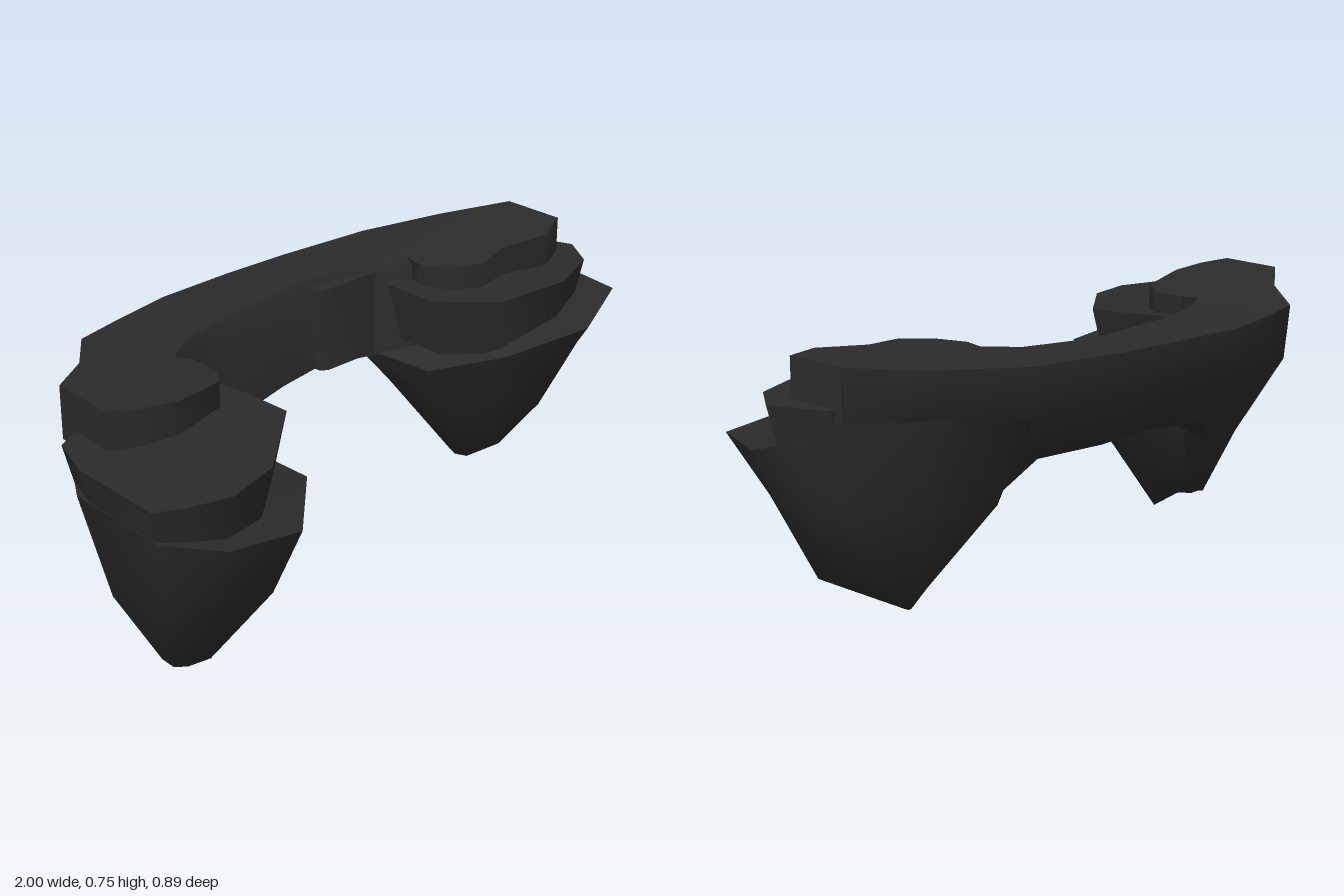
import * as THREE from 'three';
import { toCreasedNormals } from 'three/addons/utils/BufferGeometryUtils.js';

// Closed shell through matching rings of points, capped at both ends.
function loft(rings, crease = 0.8) {
  const n = rings[0].length;
  const pos = rings.flat(2);
  const index = [];
  for (let r = 0; r < rings.length - 1; r++) {
    for (let i = 0; i < n; i++) {
      const j = (i + 1) % n;
      const a = r * n + i, b = r * n + j, c = a + n, d = b + n;
      index.push(a, b, d, a, d, c);
    }
  }
  // End caps, fanned from the middle of each end ring
  [0, rings.length - 1].forEach((r) => {
    const mid = [0, 1, 2].map((k) => rings[r].reduce((s, p) => s + p[k], 0) / n);
    const m = pos.length / 3;
    pos.push(...mid);
    for (let i = 0; i < n; i++) {
      const a = r * n + i, b = r * n + (i + 1) % n;
      if (r === 0) index.push(m, b, a);
      else index.push(m, a, b);
    }
  });
  // Turn the shell outward if its signed volume is negative
  const v = (i) => new THREE.Vector3().fromArray(pos, i * 3);
  let volume = 0;
  for (let t = 0; t < index.length; t += 3) {
    volume += v(index[t]).dot(v(index[t + 1]).cross(v(index[t + 2])));
  }
  if (volume < 0) index.reverse();
  const geo = new THREE.BufferGeometry();
  geo.setAttribute('position', new THREE.Float32BufferAttribute(pos, 3));
  geo.setIndex(index);
  return toCreasedNormals(geo, crease);
}

// Ledge: outline of [x, z], top height rule, base height, inward taper.
function ledge(outline, topY, baseY, taper) {
  const n = outline.length;
  const cx = outline.reduce((s, p) => s + p[0], 0) / n;
  const cz = outline.reduce((s, p) => s + p[1], 0) / n;
  return loft([
    outline.map(([x, z]) => [x, topY(x, z), z]),
    outline.map(([x, z]) => [cx + (x - cx) * taper, baseY, cz + (z - cz) * taper]),
  ]);
}

export function createModel() {
  const group = new THREE.Group();
  const rock = new THREE.MeshStandardMaterial({ color: 0x2b2b2b });
  rock.name = 'dark rock';
  const add = (name, geo) => {
    const mesh = new THREE.Mesh(geo, rock);
    mesh.name = name;
    group.add(mesh);
  };

  // Arch: sections of outer top, outer middle, underside, inner bottom, inner top
  const sections = [
    [[-0.85, 0.744, -0.15], [-0.84, 0.56, -0.14], [-0.70, 0.45, -0.08], [-0.50, 0.42, -0.05], [-0.47, 0.702, -0.09]],
    [[-0.70, 0.72, -0.25], [-0.69, 0.55, -0.24], [-0.60, 0.40, -0.18], [-0.44, 0.36, -0.08], [-0.49, 0.702, -0.13]],
    [[-0.57, 0.70, -0.39], [-0.56, 0.55, -0.38], [-0.44, 0.315, -0.28], [-0.43, 0.34, -0.11], [-0.46, 0.70, -0.15]],
    [[-0.42, 0.695, -0.42], [-0.42, 0.555, -0.41], [-0.36, 0.33, -0.285], [-0.37, 0.36, -0.15], [-0.38, 0.70, -0.19]],
    [[-0.23, 0.693, -0.445], [-0.23, 0.56, -0.435], [-0.24, 0.42, -0.33], [-0.23, 0.42, -0.17], [-0.23, 0.695, -0.22]],
    [[0, 0.695, -0.43], [0, 0.56, -0.42], [-0.03, 0.435, -0.31], [-0.03, 0.435, -0.19], [0, 0.695, -0.235]],
    [[0.20, 0.695, -0.41], [0.20, 0.555, -0.40], [0.15, 0.43, -0.30], [0.13, 0.43, -0.21], [0.12, 0.695, -0.24]],
    [[0.49, 0.70, -0.355], [0.48, 0.56, -0.345], [0.34, 0.42, -0.24], [0.32, 0.42, -0.16], [0.33, 0.70, -0.19]],
    [[0.72, 0.715, -0.25], [0.71, 0.59, -0.24], [0.60, 0.44, -0.14], [0.40, 0.42, -0.08], [0.41, 0.705, -0.12]],
    [[0.895, 0.735, -0.13], [0.895, 0.60, -0.12], [0.80, 0.46, -0.04], [0.45, 0.44, 0], [0.39, 0.705, -0.06]],
  ];
  // A narrow lip runs below the inner top edge
  const withLip = sections.map((s) => {
    const [x, y, z] = s[4];
    return [...s.slice(0, 4), [x, y - 0.025, z + 0.018], s[4]];
  });
  add('arch', loft(withLip));

  // Low block on the inner wall of the arch
  add('innerWallBlock', ledge(
    [[0.12, -0.25], [0.12, -0.19], [0.14, -0.175], [0.32, -0.16], [0.33, -0.22]], () => 0.675, 0.43, 1));

  // Upper ledges at the ends of the arch
  add('rightUpperLedge', ledge(
    [[-0.85, -0.15], [-0.875, 0.04], [-0.80, 0.08], [-0.70, 0.10], [-0.53, 0.07], [-0.48, 0.01], [-0.47, -0.09]],
    (x) => 0.70 - 0.11 * (x + 0.45), 0.60, 1));
  add('leftUpperLedge', ledge(
    [[0.895, -0.13], [0.88, 0.06], [0.76, 0.105], [0.62, 0.06], [0.50, 0.08], [0.42, 0.03], [0.39, -0.06]],
    (x) => 0.705 + 0.06 * (x - 0.39), 0.60, 1));

  // Middle ledges
  add('rightMiddleLedge', ledge(
    [[-0.93, -0.06], [-0.98, 0.06], [-1.0, 0.32], [-0.93, 0.36], [-0.82, 0.40], [-0.66, 0.37], [-0.43, 0.20], [-0.43, 0.06], [-0.45, -0.10], [-0.70, -0.15]],
    (x, z) => 0.643 - 0.035 * z, 0.47, 0.85));
  add('leftMiddleLedge', ledge(
    [[0.33, -0.12], [0.32, 0.05], [0.45, 0.19], [0.70, 0.22], [0.88, 0.16], [0.96, 0.06], [0.91, -0.10], [0.70, -0.18], [0.50, -0.21]],
    (x) => 0.645 - 0.025 * (x - 0.3), 0.47, 0.87));

  // Tapered rock feet: rim rising into the arch wall, waist and blunt tip
  add('rightFoot', loft([
    [[-0.37, 0.44, 0.06], [-0.38, 0.44, 0.22], [-0.64, 0.48, 0.445], [-0.86, 0.51, 0.42], [-0.98, 0.54, 0.32],
      [-0.96, 0.55, 0.02], [-0.84, 0.56, -0.14], [-0.69, 0.55, -0.24], [-0.47, 0.42, -0.16]],
    [[-0.45, 0.31, 0.08], [-0.45, 0.30, 0.20], [-0.64, 0.27, 0.345], [-0.83, 0.27, 0.33], [-0.92, 0.28, 0.25],
      [-0.92, 0.28, 0.08], [-0.84, 0.28, -0.03], [-0.70, 0.28, -0.13], [-0.48, 0.30, -0.10]],
    [[-0.60, 0.09, 0.08], [-0.63, 0.03, 0.13], [-0.66, 0.0, 0.14], [-0.74, 0.015, 0.14], [-0.77, 0.02, 0.12],
      [-0.77, 0.025, 0.08], [-0.76, 0.05, 0.03], [-0.69, 0.07, -0.02], [-0.58, 0.11, -0.04]],
  ], 0.95));
  add('leftFoot', loft([
    [[0.32, 0.43, 0.04], [0.45, 0.48, 0.21], [0.69, 0.52, 0.315], [0.95, 0.535, 0.22], [1.0, 0.525, 0.07],
      [0.96, 0.55, -0.03], [0.895, 0.60, -0.12], [0.71, 0.59, -0.24], [0.48, 0.56, -0.345], [0.33, 0.42, -0.24]],
    [[0.385, 0.33, 0.03], [0.45, 0.34, 0.14], [0.66, 0.36, 0.215], [0.87, 0.37, 0.16], [0.92, 0.37, 0.06],
      [0.92, 0.38, -0.03], [0.86, 0.37, -0.10], [0.70, 0.36, -0.20], [0.50, 0.34, -0.255], [0.375, 0.33, -0.16]],
    [[0.50, 0.085, 0], [0.52, 0.08, 0.03], [0.60, 0.11, 0.085], [0.80, 0.165, 0.08], [0.82, 0.165, 0.05],
      [0.80, 0.16, 0], [0.75, 0.14, -0.04], [0.68, 0.11, -0.08], [0.60, 0.08, -0.07], [0.52, 0.08, -0.03]],
    [[0.57, 0.05, -0.03], [0.58, 0.05, -0.025], [0.59, 0.05, -0.02], [0.60, 0.05, -0.025], [0.61, 0.05, -0.03],
      [0.61, 0.05, -0.033], [0.61, 0.05, -0.036], [0.60, 0.045, -0.04], [0.59, 0.045, -0.04], [0.58, 0.045, -0.035]],
  ], 0.95));
  return group;
}
